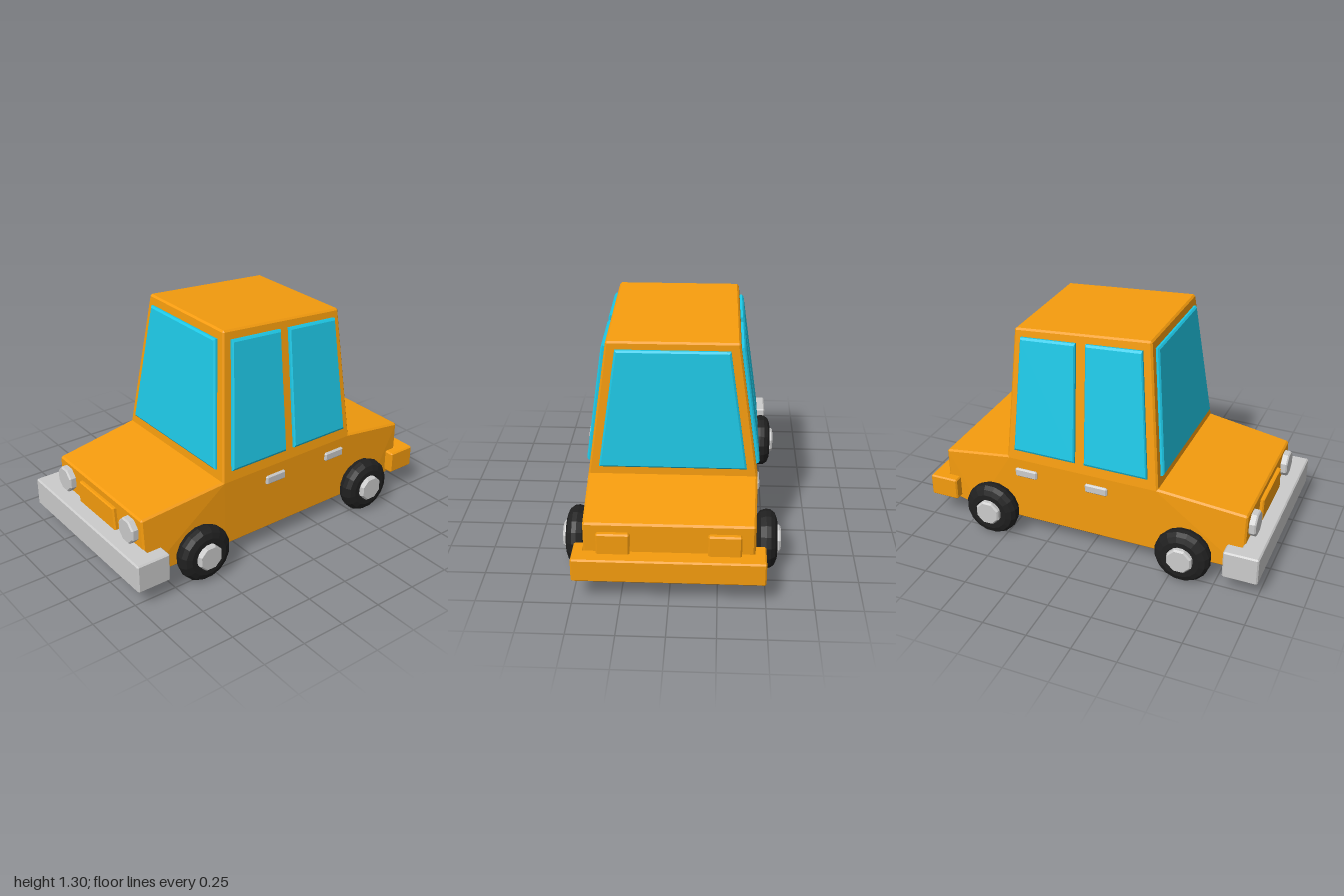
import * as THREE from 'three';
import { ConvexGeometry } from 'three/addons/geometries/ConvexGeometry.js';

const V = (x, y, z) => new THREE.Vector3(x, y, z);
const mat = (color) => new THREE.MeshStandardMaterial({ color, flatShading: true });

export function createModel() {
  const car = new THREE.Group();
  const paint = mat(0xf59c0e), glass = mat(0x1ec8e6), rubber = mat(0x202020), grey = mat(0xcccccc);

  const add = (name, geometry, material, parent = car) => {
    const mesh = new THREE.Mesh(geometry, material);
    mesh.name = name;
    parent.add(mesh);
    return mesh;
  };

  // Convex solid whose corners are chamfered by b towards its centre
  const chamfered = (corners, b) => {
    const c = new THREE.Box3().setFromPoints(corners).getCenter(V(0, 0, 0));
    const pts = [];
    for (const p of corners) {
      const d = V(Math.sign(c.x - p.x), Math.sign(c.y - p.y), Math.sign(c.z - p.z)).multiplyScalar(b);
      pts.push(V(p.x, p.y + d.y, p.z + d.z), V(p.x + d.x, p.y, p.z + d.z), V(p.x + d.x, p.y + d.y, p.z));
    }
    return new ConvexGeometry(pts);
  };

  // Chamfered box from ranges along x, y and z
  const box = (x0, x1, y0, y1, z0, z1, b = 0.008) => {
    const corners = [];
    for (const x of [x0, x1]) for (const y of [y0, y1]) for (const z of [z0, z1]) corners.push(V(x, y, z));
    return chamfered(corners, b);
  };

  // Symmetric corners from [half width, y, z]
  const mirrored = (list) => list.flatMap(([x, y, z]) => [V(x, y, z), V(-x, y, z)]);

  // Pane raised from a quad lying on the body, with a bevelled rim
  const pane = (quad, outward, depth = 0.021, inset = 0.01) => {
    const n = new THREE.Vector3().crossVectors(
      quad[1].clone().sub(quad[0]), quad[3].clone().sub(quad[0])).normalize();
    if (n.dot(outward) < 0) n.negate();
    const c = quad.reduce((s, p) => s.add(p), V(0, 0, 0)).multiplyScalar(0.25);
    const pts = [];
    for (const p of quad) {
      const inner = p.clone().add(c.clone().sub(p).normalize().multiplyScalar(inset * 1.4));
      pts.push(p.clone().addScaledVector(n, -0.015), p.clone().addScaledVector(n, depth - 0.008),
        inner.addScaledVector(n, depth));
    }
    return new ConvexGeometry(pts);
  };

  // Lower body: bonnet, doors and boot
  add('body', chamfered(mirrored([
    [0.445, 0.10, 0.895], [0.422, 0.437, 0.895], [0.455, 0.50, 0.40], [0.455, 0.10, 0.40],
    [0.455, 0.50, -0.50], [0.455, 0.10, -0.73], [0.44, 0.435, -0.91], [0.44, 0.125, -0.91],
  ]), 0.01), paint);

  // Tapered cabin
  add('cabin', chamfered(mirrored([
    [0.455, 0.48, 0.402], [0.455, 0.48, -0.503], [0.34, 1.303, 0.312], [0.347, 1.247, -0.473],
  ]), 0.01), paint);

  // Windscreen and rear window
  const frontZ = (y) => 0.40 - (y - 0.5) * 0.1125;
  const rearZ = (y) => -0.502 + (y - 0.5) * 0.04;
  const endQuad = (y0, y1, zAt) => [V(-0.395, y0, zAt(y0)), V(0.395, y0, zAt(y0)),
    V(0.298, y1, zAt(y1)), V(-0.298, y1, zAt(y1))];
  add('windscreen', pane(endQuad(0.553, 1.25, frontZ), V(0, 0, 1)), glass);
  add('rearWindow', pane(endQuad(0.545, 1.205, rearZ), V(0, 0, -1)), glass);

  // Side windows and door handles; each window is four [z, y] corners
  const sideX = (y) => 0.453 - (y - 0.5) * 0.142;
  const windows = {
    FrontWindow: [[0.34, 0.55], [-0.028, 0.55], [-0.05, 1.23], [0.268, 1.25]],
    RearWindow: [[-0.085, 0.55], [-0.452, 0.55], [-0.43, 1.205], [-0.108, 1.225]],
  };
  for (const [side, s] of [['left', 1], ['right', -1]]) {
    for (const [name, quad] of Object.entries(windows))
      add(side + name, pane(quad.map(([z, y]) => V(s * sideX(y), y, z)), V(s, 0, 0)), glass);
    for (const [name, z] of [['FrontHandle', 0.043], ['RearHandle', -0.385]])
      add(side + name, box(s * 0.43, s * 0.468, 0.383, 0.435, z - 0.067, z + 0.067), grey);
  }

  // Wheels: rounded tyre and eight-sided hub, turned around the axle
  const lathe = (profile, sides) => new THREE.LatheGeometry(
    profile.map(([r, h]) => new THREE.Vector2(r, h)), sides).rotateY(Math.PI / sides);
  const tyreProfile = [[0, 0.435], [0.085, 0.435], [0.125, 0.453], [0.15, 0.475], [0.16, 0.505],
    [0.157, 0.53], [0.14, 0.553], [0.11, 0.565], [0.08, 0.565], [0.07, 0.55], [0, 0.55]];
  const hubProfile = [[0, 0.5], [0.076, 0.5], [0.076, 0.576], [0.067, 0.586], [0, 0.586]];
  for (const [end, z] of [['front', 0.573], ['rear', -0.585]]) {
    for (const [side, s] of [['Left', 1], ['Right', -1]]) {
      const wheel = new THREE.Group();
      wheel.name = end + side + 'Wheel';
      wheel.position.set(0, 0.163, z);
      wheel.rotation.z = -s * Math.PI / 2;
      add('tyre', lathe(tyreProfile, 16), rubber, wheel);
      add('hub', lathe(hubProfile, 8), grey, wheel);
      car.add(wheel);
    }
  }

  // Bumpers: a bar with two arms wrapping the corners
  const bumper = (name, w, arm, y0, y1, zOut, zBar, zArm, material) => {
    const group = new THREE.Group();
    group.name = name;
    add('bar', box(-w, w, y0, y1, zBar, zOut), material, group);
    for (const s of [1, -1]) add('arm', box(s * (w - arm), s * w, y0, y1, zArm, zOut), material, group);
    car.add(group);
  };
  bumper('frontBumper', 0.542, 0.085, 0.103, 0.267, 1.0, 0.885, 0.803, grey);
  bumper('rearBumper', 0.498, 0.06, 0.142, 0.272, -1.0, -0.90, -0.83, paint);

  // Grille panel
  add('grille', pane([V(-0.19, 0.25, 0.895), V(0.19, 0.25, 0.895), V(0.177, 0.392, 0.895),
    V(-0.177, 0.392, 0.895)], V(0, 0, 1), 0.022, 0.006), paint);

  // Headlights and tail lights
  const lampProfile = [[0, -0.02], [0.074, -0.02], [0.074, 0.03], [0.066, 0.038], [0, 0.038]];
  for (const [side, s] of [['left', 1], ['right', -1]]) {
    add(side + 'Headlight', lathe(lampProfile, 8).rotateX(Math.PI / 2), grey)
      .position.set(s * 0.323, 0.342, 0.895);
    add(side + 'TailLight', box(s * 0.2, s * 0.372, 0.25, 0.387, -0.937, -0.89), paint);
  }

  return car;
}
